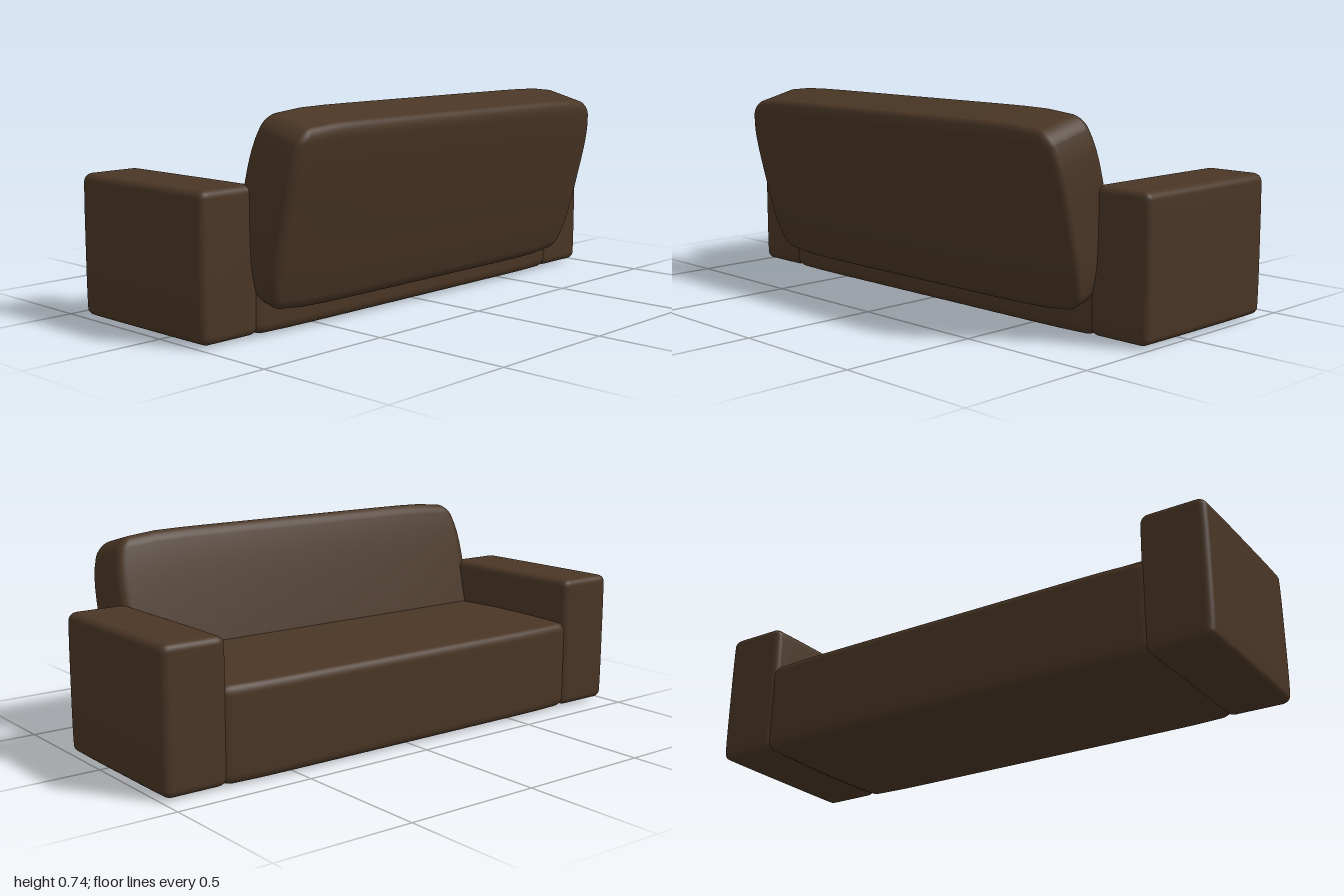
import * as THREE from 'three';
import { mergeVertices } from 'three/addons/utils/BufferGeometryUtils.js';

const SEGS = 24;   // grid divisions per side
const EDGE = 5;    // divisions spent on each rounded edge

// Padded block: rounded edges with a radius per axis, then tapered toward its ends.
// tapers: [axis that shrinks, axis it depends on, amount, power]
function cushion(size, radius, tapers) {
  let geo = new THREE.BoxGeometry(2, 2, 2, SEGS, SEGS, SEGS);
  geo.deleteAttribute('uv');
  geo.deleteAttribute('normal');
  geo = mergeVertices(geo);
  const pos = geo.attributes.position;
  const half = size.map((s) => s / 2);
  const core = half.map((h, i) => h - radius[i]);
  const flat = 1 - (2 * EDGE) / SEGS;

  for (let v = 0; v < pos.count; v++) {
    const t = [pos.getX(v), pos.getY(v), pos.getZ(v)];
    // split each coordinate into a flat core and a rounded rim
    const base = t.map((c, i) => THREE.MathUtils.clamp(c / flat, -1, 1) * core[i]);
    const rim = t.map((c) => Math.sign(c) * Math.max(0, (Math.abs(c) - flat) / (1 - flat)));
    const len = Math.hypot(...rim);
    const p = base.map((b, i) => b + (rim[i] / len) * radius[i]);
    const n = p.map((c, i) => Math.abs(c / half[i]));
    for (const [axis, along, amount, power] of tapers) p[axis] *= 1 - amount * n[along] ** power;
    pos.setXYZ(v, ...p);
  }
  geo.computeVertexNormals();
  return geo;
}

export function createModel() {
  const model = new THREE.Group();
  model.name = 'sofa';
  const fabric = new THREE.MeshStandardMaterial({ color: 0x4a3625 });
  const add = (name, geo, x, y, z) => {
    const mesh = new THREE.Mesh(geo, fabric);
    mesh.name = name;
    mesh.position.set(x, y, z);
    model.add(mesh);
    return mesh;
  };

  // Long seat block with a slightly crowned top and underside
  const seat = cushion([0.66, 0.342, 1.58], [0.025, 0.035, 0.05],
    [[1, 0, 0.05, 2], [0, 2, 0.05, 10]]);
  add('seat', seat, -0.1, 0.173, 0);

  // Square arms at both ends
  const arm = cushion([0.635, 0.49, 0.243], [0.025, 0.027, 0.032],
    [[2, 1, 0.03, 4], [2, 0, 0.03, 4]]);
  for (const side of [-1, 1]) {
    add(side > 0 ? 'frontArm' : 'rearArm', arm, -0.1025, 0.255, side * 0.878);
  }

  // Backrest leaning away from the seat, softly domed with rounded corners
  const back = cushion([0.228, 0.64, 1.6], [0.03, 0.045, 0.04],
    [[2, 1, 0.05, 4], [1, 2, 0.07, 10], [0, 1, 0.1, 4], [0, 2, 0.06, 6]]);
  add('backrest', back, 0.26, 0.411, 0).rotation.z = -0.253;

  return model;
}
